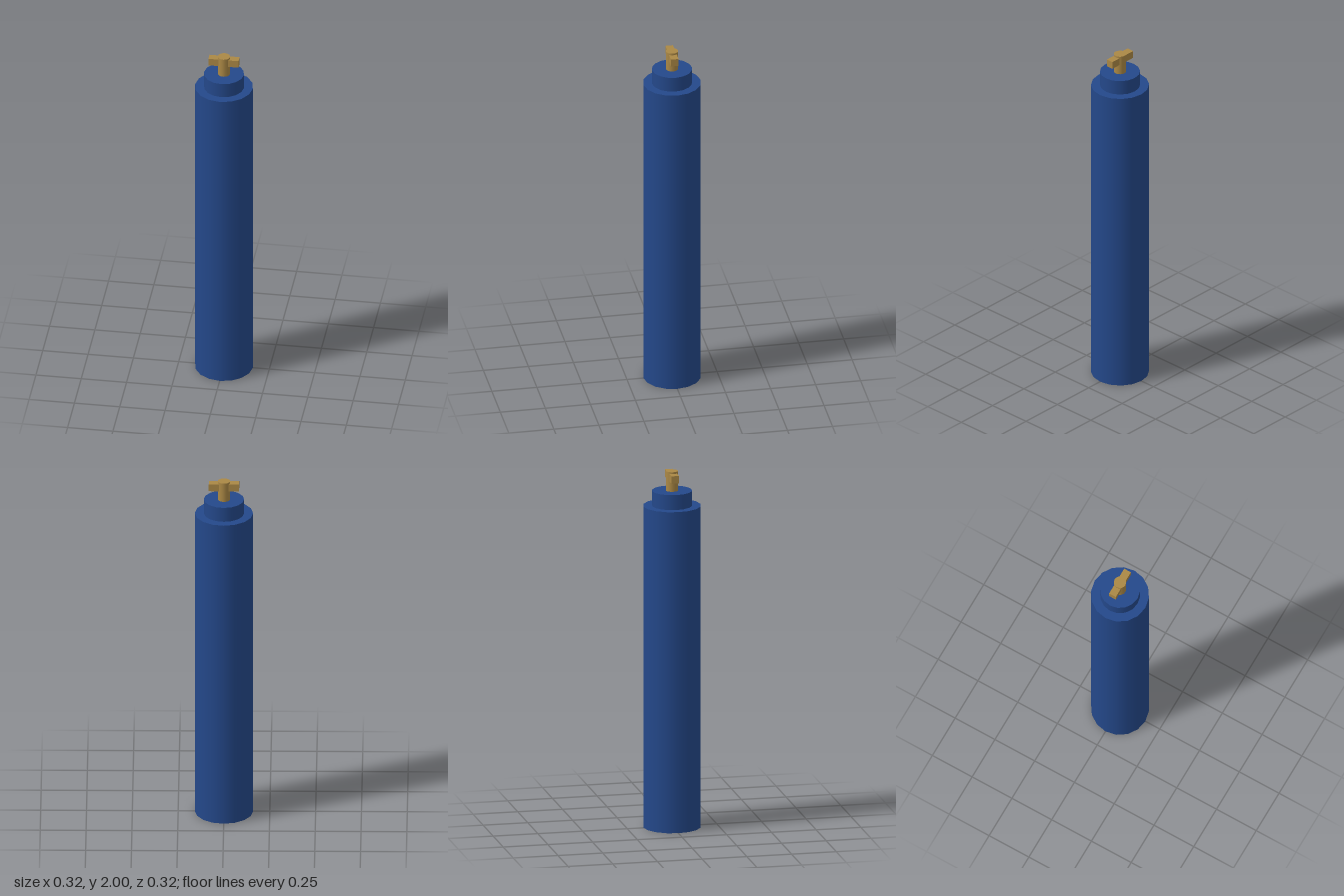
import * as THREE from 'three';

export function createModel() {
  const blue = new THREE.MeshStandardMaterial({ color: 0x24488a });
  blue.name = 'blue paint';
  const brass = new THREE.MeshStandardMaterial({ color: 0xab8845 });
  brass.name = 'brass';

  const model = new THREE.Group();
  model.name = 'gasCylinder';

  const add = (name, geometry, material, y) => {
    const mesh = new THREE.Mesh(geometry, material);
    mesh.name = name;
    mesh.position.y = y;
    model.add(mesh);
  };
  // Upright cylinder spanning two heights
  const addCylinder = (name, radius, bottom, top, material) =>
    add(name, new THREE.CylinderGeometry(radius, radius, top - bottom, 16), material, (bottom + top) / 2);

  // Tank body and stepped neck
  addCylinder('body', 0.159, 0, 1.806, blue);
  addCylinder('neck', 0.11, 1.806, 1.89, blue);

  // Valve stem with its cross handle
  addCylinder('valveStem', 0.034, 1.89, 2, brass);
  add('valveHandle', new THREE.BoxGeometry(0.166, 0.042, 0.042), brass, 1.969);

  return model;
}
